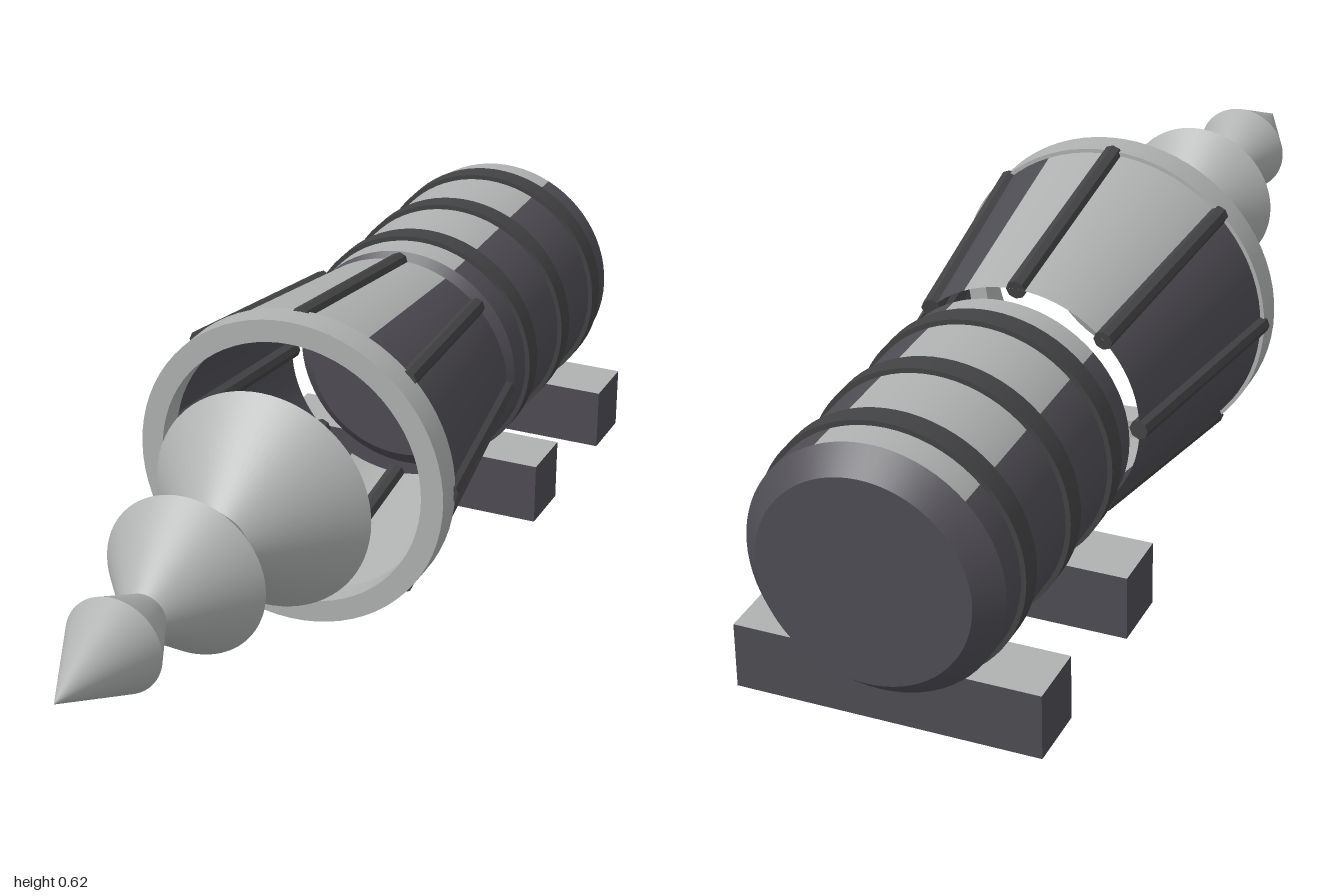
import * as THREE from 'three';
import { mergeGeometries } from 'three/addons/utils/BufferGeometryUtils.js';

const AXIS_Y = 0.313;
const DEG = Math.PI / 180;

function material(name, color) {
  const m = new THREE.MeshStandardMaterial({ color });
  m.name = name;
  return m;
}

// Turned part along z from [radius, z] points, with a sharp edge at each point.
function turned(name, profile, mat, start = 0, sweep = 360) {
  const segments = Math.max(8, Math.round(sweep / 5));
  const strips = [];
  for (let i = 0; i < profile.length - 1; i++) {
    const pair = [profile[i], profile[i + 1]].map(([r, z]) => new THREE.Vector2(r, z));
    strips.push(new THREE.LatheGeometry(pair, segments, start * DEG, sweep * DEG));
  }
  const mesh = new THREE.Mesh(mergeGeometries(strips), mat);
  mesh.geometry.rotateX(Math.PI / 2);
  mesh.name = name;
  return mesh;
}

export function createModel() {
  const light = material('light steel', 0xb0b2b2);
  const dark = material('dark steel', 0x4f4d54);
  const trim = material('charcoal trim', 0x434345);
  const lightShell = material('light shell', 0xb0b2b2);
  const darkShell = material('dark shell', 0x4f4d54);
  lightShell.side = darkShell.side = THREE.DoubleSide;

  const model = new THREE.Group();
  const machine = new THREE.Group();
  machine.name = 'machine';
  machine.position.y = AXIS_Y;
  model.add(machine);

  // Stepped drill of three double cones
  machine.add(turned('drill', [
    [0, 0.12], [0.213, 0.235], [0.063, 0.42], [0.152, 0.54],
    [0.043, 0.695], [0.09, 0.8], [0, 1],
  ], light));

  // Front collar
  machine.add(turned('collar', [
    [0.26, 0.062], [0.303, 0.062], [0.303, 0.12], [0.26, 0.12], [0.26, 0.062],
  ], light));

  // Shroud and motor barrel, with light panels above and below, dark ones at the sides
  const panels = [[-25, 70, true], [45, 110, false], [155, 70, true], [225, 110, false]];
  for (const [start, sweep, isLight] of panels) {
    machine.add(turned('shroudPanel', [[0.23, -0.385], [0.296, 0.064]],
      isLight ? lightShell : darkShell, start, sweep));
    machine.add(turned('motorPanel', [[0.229, -0.955], [0.229, -0.43]],
      isLight ? light : dark, start, sweep));
  }

  // Bevelled motor ends
  machine.add(turned('motorBack', [[0, -1], [0.19, -1], [0.229, -0.955]], dark));
  machine.add(turned('motorFront', [[0.229, -0.43], [0.19, -0.388], [0, -0.388]], dark));

  // Raised bands around the motor
  for (const z of [-0.51, -0.693, -0.877]) {
    machine.add(turned('motorBand', [
      [0.225, z - 0.022], [0.238, z - 0.022], [0.238, z + 0.022], [0.225, z + 0.022],
    ], trim));
  }

  // Eight sloping ribs set through the shroud wall
  const rise = 0.066, run = 0.455;
  const ribGeometry = new THREE.CylinderGeometry(0.018, 0.018, Math.hypot(rise, run), 8).toNonIndexed();
  ribGeometry.computeVertexNormals();
  for (let i = 0; i < 8; i++) {
    const spoke = new THREE.Group();
    spoke.name = 'shroudRib';
    spoke.rotation.z = i * Math.PI / 4;
    const rib = new THREE.Mesh(ribGeometry, trim);
    rib.name = 'rib';
    rib.position.set(0, 0.261, -0.157);
    rib.rotation.x = Math.atan2(run, rise);
    spoke.add(rib);
    machine.add(spoke);
  }

  // Cross feet with light tops
  for (const z of [-0.5, -0.872]) {
    const foot = new THREE.Mesh(new THREE.BoxGeometry(0.554, 0.122, 0.123),
      [dark, dark, light, dark, dark, dark]);
    foot.name = 'foot';
    foot.position.set(0, 0.066, z);
    model.add(foot);
  }
  return model;
}
